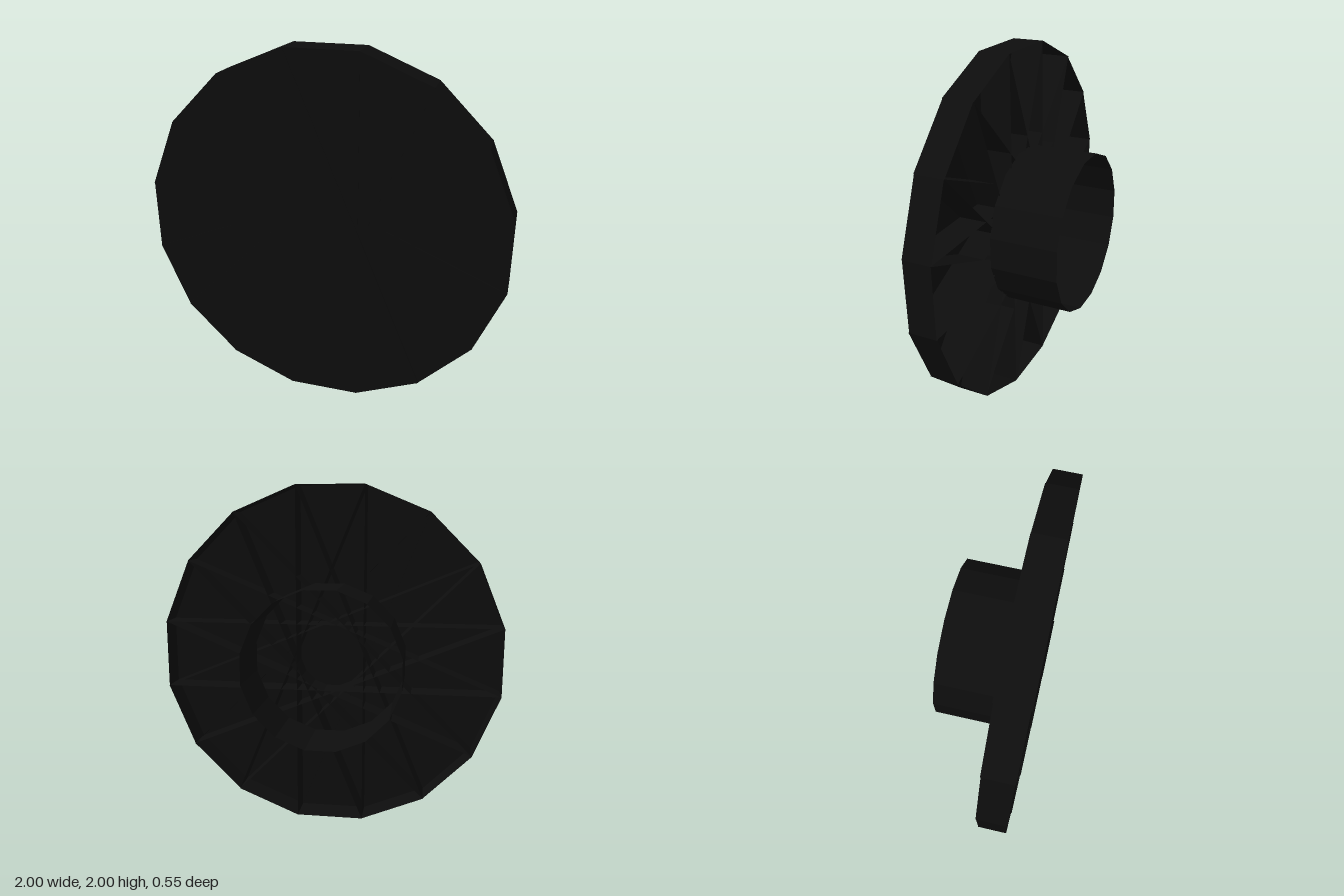
import * as THREE from 'three';

const black = new THREE.MeshStandardMaterial({ color: 0x0d0d0d, side: THREE.DoubleSide, flatShading: true });
black.name = 'matte black';

const APOTHEM = 1;
const HALF_WIDTH = APOTHEM * Math.tan(Math.PI / 16);
const FRONT = 0.274;
const BACK = 0.096;

function addPlate(parent, name, w, h, position, rotation) {
  const mesh = new THREE.Mesh(new THREE.PlaneGeometry(w, h), black);
  mesh.name = name;
  mesh.position.set(...position);
  mesh.rotation.set(...rotation);
  parent.add(mesh);
}

// One open-backed bar across the disc: front plate, two long walls, two rim walls
function makeBar(inset) {
  const bar = new THREE.Group();
  bar.name = 'discBar';
  const front = FRONT - inset;
  const depth = front - BACK - inset * 0.8;
  const mid = front - depth / 2;
  addPlate(bar, 'frontPlate', HALF_WIDTH * 2, APOTHEM * 2, [0, 0, front], [0, 0, 0]);
  for (const s of [-1, 1]) {
    addPlate(bar, 'rib', depth, APOTHEM * 2, [s * HALF_WIDTH, 0, mid], [0, s * Math.PI / 2, 0]);
    addPlate(bar, 'rimWall', HALF_WIDTH * 2, depth, [0, s * APOTHEM, mid], [-s * Math.PI / 2, 0, 0]);
  }
  return bar;
}

export function createModel() {
  const model = new THREE.Group();
  model.name = 'wheelCover';

  // Sixteen-sided disc of eight crossed bars, each slightly shallower than the last
  const disc = new THREE.Group();
  disc.name = 'disc';
  const steps = [1, 0, -1, 2, -2, 3, -3, 4];
  steps.forEach((step, i) => {
    const bar = makeBar(i * 0.0018);
    bar.rotation.z = step * Math.PI / 8;
    disc.add(bar);
  });
  disc.position.y = 1;
  model.add(disc);

  // Open hub tube at the back
  const hubRadius = 0.443 / Math.cos(Math.PI / 16);
  const hubGeo = new THREE.CylinderGeometry(hubRadius, hubRadius, 0.382, 16, 1, true, Math.PI / 16);
  hubGeo.rotateX(Math.PI / 2);
  const hub = new THREE.Mesh(hubGeo, black);
  hub.name = 'hub';
  hub.position.set(0, 1, -0.081);
  model.add(hub);

  return model;
}
